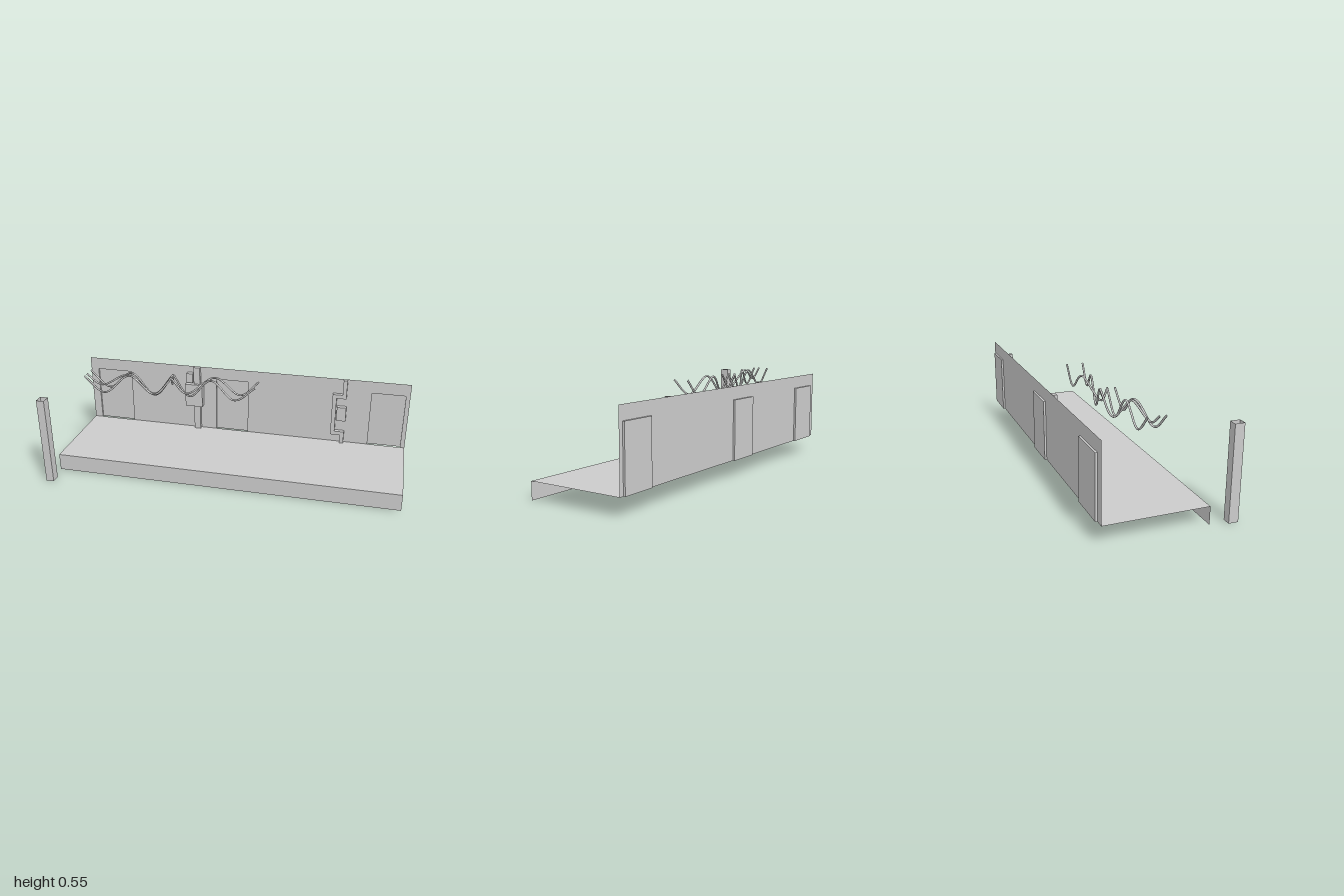
import * as THREE from 'three';

const FLOOR = 0.097, TOP = 0.505, BACK = -0.341, FRONT = 0.21, LEFT = -0.978, RIGHT = 1;
const DOOR_TOP = 0.432, DOOR_Z = -0.352;
const DOORS = [[-0.93, -0.71], [-0.16, 0.04], [0.78, 0.975]];

export function createModel() {
  const root = new THREE.Group();
  const flat = new THREE.MeshStandardMaterial({ color: 0xcccccc, flatShading: true, side: THREE.DoubleSide });
  const smooth = new THREE.MeshStandardMaterial({ color: 0xcccccc });

  const add = (name, geometry, parent = root, material = flat) => {
    const mesh = new THREE.Mesh(geometry, material);
    mesh.name = name;
    parent.add(mesh);
    return mesh;
  };
  const group = (name) => {
    const g = new THREE.Group();
    g.name = name;
    root.add(g);
    return g;
  };
  // Box given by its lower and upper limits
  const box = (name, x0, x1, y0, y1, z0, z1, parent) =>
    add(name, new THREE.BoxGeometry(x1 - x0, y1 - y0, z1 - z0)
      .translate((x0 + x1) / 2, (y0 + y1) / 2, (z0 + z1) / 2), parent);

  // Thin floor and front riser
  const midX = (LEFT + RIGHT) / 2, width = RIGHT - LEFT;
  add('floor', new THREE.PlaneGeometry(width, FRONT - BACK).rotateX(-Math.PI / 2)
    .translate(midX, FLOOR, (FRONT + BACK) / 2));
  add('frontRiser', new THREE.PlaneGeometry(width, FLOOR).translate(midX, FLOOR / 2, FRONT));

  // Thin back wall, notched at the doorways
  const wall = new THREE.Shape();
  wall.moveTo(LEFT, TOP);
  wall.lineTo(LEFT, FLOOR);
  for (const [a, b] of DOORS) {
    wall.lineTo(a, FLOOR);
    wall.lineTo(a, DOOR_TOP);
    wall.lineTo(b, DOOR_TOP);
    wall.lineTo(b, FLOOR);
  }
  wall.lineTo(RIGHT, FLOOR);
  wall.lineTo(RIGHT, TOP);
  add('backWall', new THREE.ShapeGeometry(wall).translate(0, 0, BACK));

  // Recessed doors: panel, two jambs and a header
  const depth = BACK - DOOR_Z, doorH = DOOR_TOP - FLOOR;
  const doorY = (DOOR_TOP + FLOOR) / 2, doorZ = (BACK + DOOR_Z) / 2;
  for (const [a, b] of DOORS) {
    const door = group('door');
    const c = (a + b) / 2;
    add('doorPanel', new THREE.PlaneGeometry(b - a, doorH).translate(c, doorY, DOOR_Z), door);
    add('doorHeader', new THREE.PlaneGeometry(b - a, depth).rotateX(Math.PI / 2)
      .translate(c, DOOR_TOP, doorZ), door);
    for (const [x, s] of [[a, 1], [b, -1]])
      add('doorJamb', new THREE.PlaneGeometry(depth, doorH).rotateY(s * Math.PI / 2)
        .translate(x, doorY, doorZ), door);
  }

  // Straight conduit with its junction boxes
  const straight = group('straightConduit');
  box('conduit', -0.297, -0.258, FLOOR, TOP, BACK, -0.317, straight);
  box('junctionBox', -0.347, -0.24, 0.255, 0.398, BACK, -0.3, straight);
  box('smallBox', -0.342, -0.303, 0.405, 0.464, BACK, -0.313, straight);

  // Conduit that jogs around a small box
  const bent = group('bentConduit');
  const path = [[0.613, TOP], [0.613, 0.412], [0.555, 0.412], [0.555, 0.15], [0.613, 0.15], [0.613, FLOOR],
    [0.636, FLOOR], [0.636, 0.173], [0.579, 0.173], [0.579, 0.388], [0.636, 0.388], [0.636, TOP]];
  const outline = new THREE.Shape(path.map(([x, y]) => new THREE.Vector2(x, y)));
  add('conduit', new THREE.ExtrudeGeometry(outline, { depth: -0.317 - BACK, bevelEnabled: false })
    .translate(0, 0, BACK), bent);
  box('outletBox', 0.585, 0.64, 0.246, 0.333, BACK, -0.313, bent);

  // Hollow square corner post, open at both ends
  add('cornerPost', new THREE.CylinderGeometry(Math.SQRT1_2, Math.SQRT1_2, TOP, 4, 1, true)
    .rotateY(Math.PI / 4).scale(0.045, 1, 0.052).translate(-0.9775, TOP / 2, 0.327));

  // Hanging cables, sagging between high points
  const cables = group('hangingCables');
  const runs = [
    [[-0.855, 0.535, 0.03], [-0.74, 0.44, 0.018], [-0.6, 0.54, -0.022], [-0.47, 0.415, -0.082], [-0.36, 0.535, -0.108]],
    [[-0.855, 0.535, -0.006], [-0.765, 0.475, -0.01], [-0.61, 0.538, -0.036], [-0.45, 0.44, -0.018], [-0.355, 0.53, -0.024]],
    [[-0.855, 0.535, -0.067], [-0.74, 0.44, -0.067], [-0.6, 0.54, -0.067], [-0.465, 0.415, -0.067], [-0.355, 0.535, -0.067]],
    [[-0.36, 0.535, -0.112], [-0.26, 0.415, -0.092], [-0.12, 0.536, -0.067], [0.02, 0.44, -0.04], [0.145, 0.535, -0.02]],
    [[-0.36, 0.53, -0.067], [-0.27, 0.44, -0.07], [-0.11, 0.536, -0.115], [0.04, 0.44, -0.118], [0.15, 0.535, -0.114]],
    [[-0.36, 0.535, -0.067], [-0.358, 0.485, -0.088], [-0.36, 0.535, -0.11]],
  ];
  for (const run of runs) {
    const curve = new THREE.CatmullRomCurve3(run.map((p) => new THREE.Vector3(...p)));
    add('cable', new THREE.TubeGeometry(curve, 48, 0.0055, 8), cables, smooth);
  }
  return root;
}
